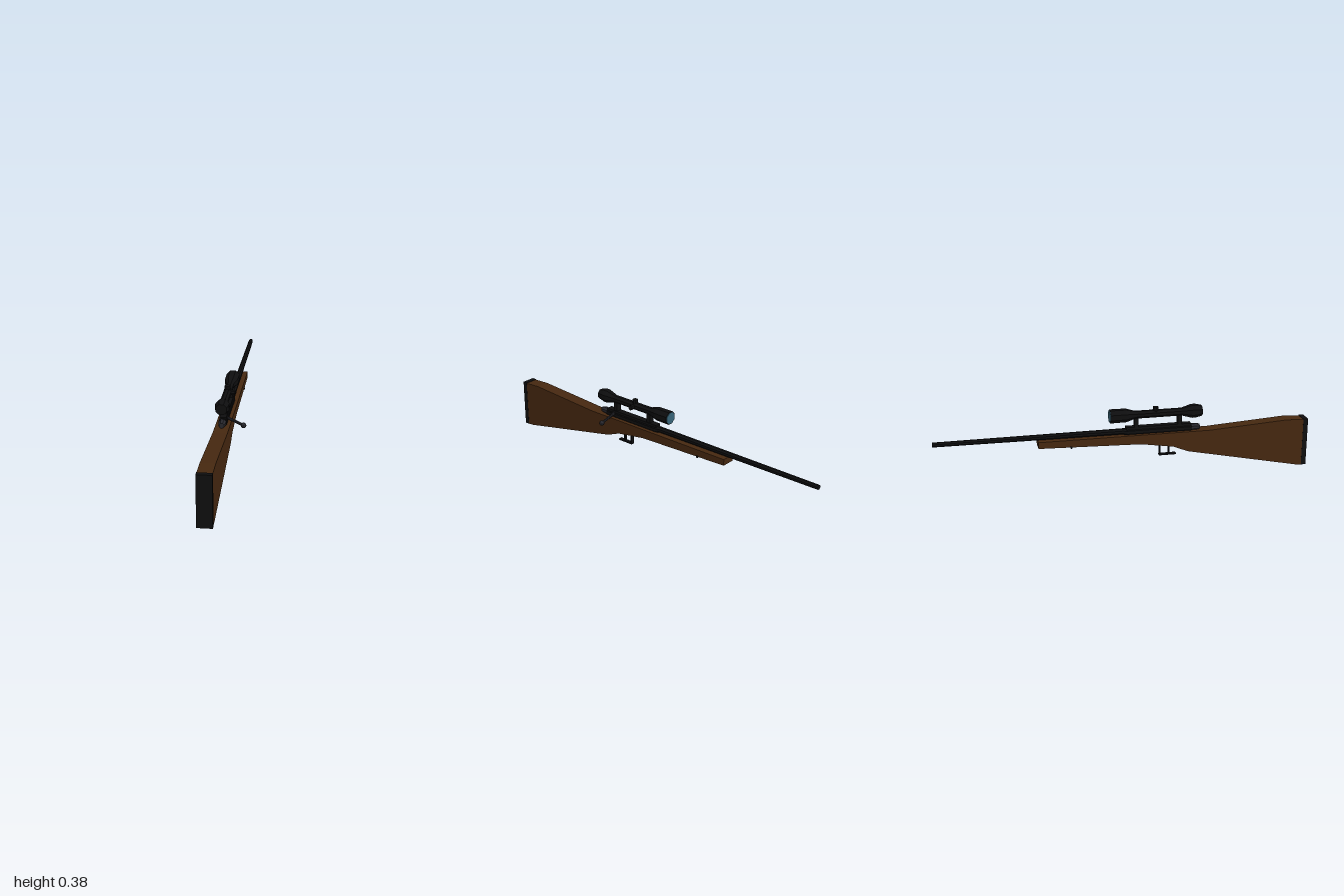
import * as THREE from 'three';

const CX = -0.0375; // centre line of the rifle

export function createModel() {
  const model = new THREE.Group();
  const material = (name, color) => {
    const m = new THREE.MeshStandardMaterial({ color });
    m.name = name;
    return m;
  };
  const wood = material('walnut wood', 0x462810);
  const black = material('black metal', 0x0e0e0f);
  const steel = material('dark steel', 0x27272d);
  const glass = material('blue glass', 0x386478);

  const add = (name, geometry, mat, x = 0, y = 0, z = 0, parent = model) => {
    const flat = geometry.index ? geometry.toNonIndexed() : geometry;
    flat.computeVertexNormals();
    const mesh = new THREE.Mesh(flat, mat);
    mesh.name = name;
    mesh.position.set(x, y, z);
    parent.add(mesh);
    return mesh;
  };
  const box = (name, mat, w, h, d, x, y, z, parent) =>
    add(name, new THREE.BoxGeometry(w, h, d), mat, x, y, z, parent);
  // Eight-sided turned part along z, from [radius, z] pairs with rising z
  const turned = (name, mat, profile, y, parent) => {
    const points = profile.map(([r, z]) => new THREE.Vector2(r, z));
    const geometry = new THREE.LatheGeometry(points, 8, Math.PI / 8);
    return add(name, geometry.rotateX(Math.PI / 2), mat, CX, y, 0, parent);
  };

  // Stock: side outline extruded across the width
  const outline = [
    [0.976, 0], [0.976, 0.259], [0.88, 0.264], [0.45, 0.237], [-0.465, 0.237],
    [-0.465, 0.203], [0.075, 0.187], [0.25, 0.16], [0.33, 0.128], [0.94, 0.003],
  ].map(([z, y]) => new THREE.Vector2(z, y));
  const stock = new THREE.ExtrudeGeometry(new THREE.Shape(outline), { depth: 0.073, bevelEnabled: false });
  add('stock', stock.rotateY(-Math.PI / 2), wood, -0.001);
  box('buttPad', black, 0.075, 0.262, 0.026, CX, 0.131, 0.987);

  // Barrel, receiver and bolt
  turned('barrel', black, [[0, -1], [0.0125, -1], [0.0165, 0.02], [0, 0.02]], 0.253);
  turned('receiver', black, [[0, -0.01], [0.018, -0.01], [0.022, 0.01], [0.022, 0.355], [0, 0.355]], 0.25);
  turned('boltShroud', steel, [[0, 0.34], [0.0185, 0.34], [0.0185, 0.38], [0.014, 0.4], [0, 0.4]], 0.252);
  box('scopeRail', black, 0.034, 0.014, 0.35, CX, 0.27, 0.175);

  const handleStart = new THREE.Vector3(CX + 0.01, 0.261, 0.3);
  const handleEnd = new THREE.Vector3(0.062, 0.225, 0.315);
  const direction = handleEnd.clone().sub(handleStart);
  const handleMiddle = handleStart.clone().add(handleEnd).multiplyScalar(0.5);
  const handle = add('boltHandle', new THREE.CylinderGeometry(0.007, 0.007, direction.length(), 8),
    steel, ...handleMiddle.toArray());
  handle.quaternion.setFromUnitVectors(new THREE.Vector3(0, 1, 0), direction.normalize());
  add('boltKnob', new THREE.SphereGeometry(0.0145, 8, 6), steel, ...handleEnd.toArray());

  // Telescopic sight
  const scope = new THREE.Group();
  scope.name = 'scope';
  model.add(scope);
  const SY = 0.34;
  turned('scopeTube', black, [
    [0, -0.085], [0.037, -0.085], [0.036, 0], [0.021, 0.05], [0.021, 0.3],
    [0.037, 0.355], [0.037, 0.375], [0.029, 0.41], [0, 0.41],
  ], SY, scope);
  turned('frontLens', glass, [[0, -0.088], [0.033, -0.088], [0.033, -0.084], [0, -0.084]], SY, scope);
  add('topTurret', new THREE.CylinderGeometry(0.0145, 0.0145, 0.04, 8), black, CX, 0.357, 0.16, scope);
  add('sideTurret', new THREE.CylinderGeometry(0.0135, 0.0135, 0.04, 8).rotateZ(Math.PI / 2),
    black, CX + 0.02, 0.339, 0.16, scope);
  for (const z of [0.29, 0.055]) {
    box('scopeMount', black, 0.03, 0.055, 0.022, CX, 0.297, z, scope);
  }

  // Trigger and guard
  box('guardFloor', black, 0.022, 0.007, 0.092, CX, 0.11, 0.226);
  box('guardFront', black, 0.022, 0.068, 0.007, CX, 0.14, 0.184);
  box('trigger', black, 0.012, 0.06, 0.008, CX, 0.138, 0.234);

  // Sling pin through the fore-end
  add('slingPin', new THREE.CylinderGeometry(0.0065, 0.0065, 0.079, 8).rotateZ(Math.PI / 2),
    black, CX, 0.198, -0.295);

  return model;
}
